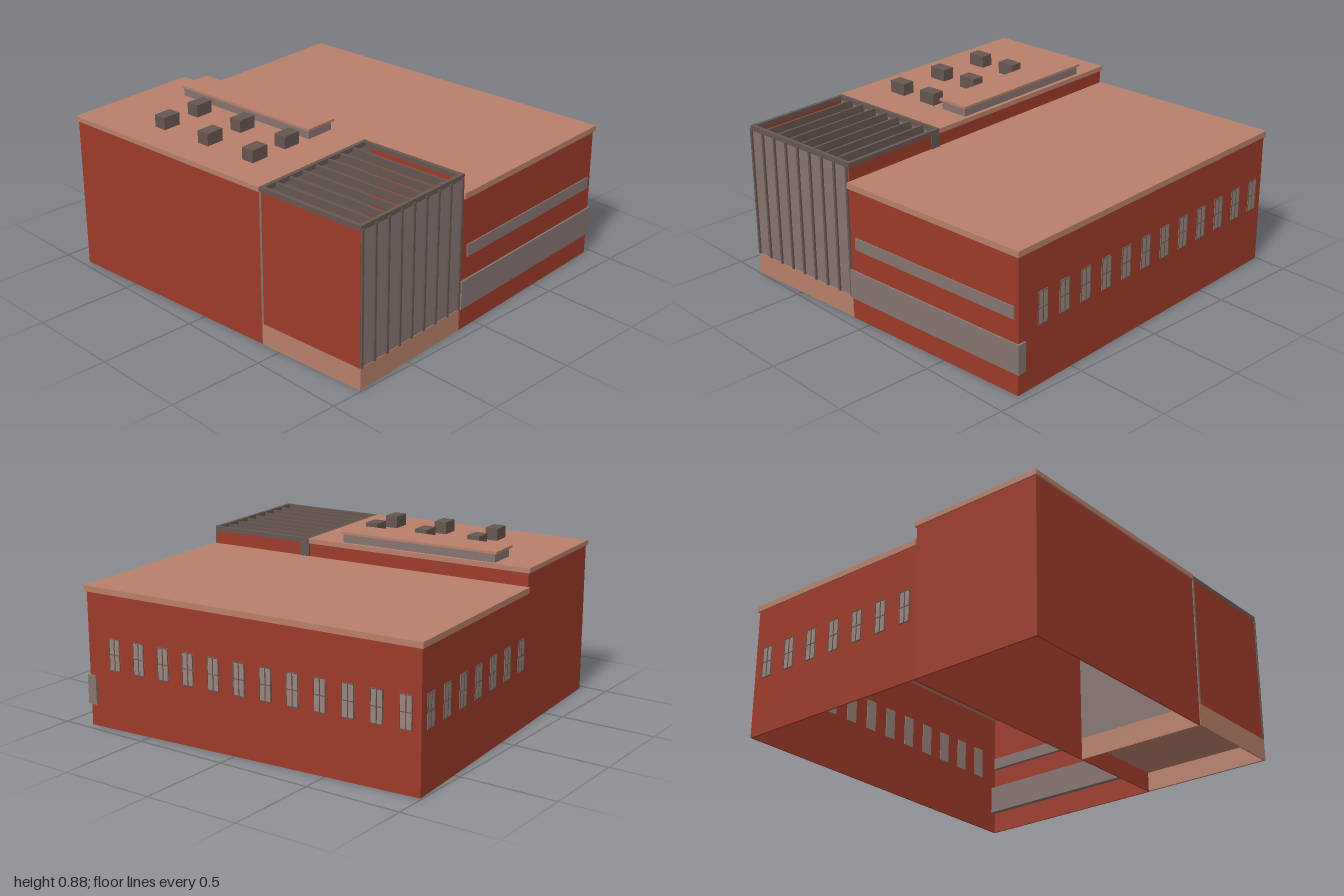
import * as THREE from 'three';

const mat = (color) => new THREE.MeshStandardMaterial({ color, side: THREE.DoubleSide });
const brick = mat(0x9c3b28), stone = mat(0xb8806a), glass = mat(0x857570), metal = mat(0x66564f), pane = mat(0x98857c);

// Box given by its extents along each axis
function box(parent, name, material, [x0, x1], [y0, y1], [z0, z1]) {
  const mesh = new THREE.Mesh(new THREE.BoxGeometry(x1 - x0, y1 - y0, z1 - z0), material);
  mesh.position.set((x0 + x1) / 2, (y0 + y1) / 2, (z0 + z1) / 2);
  mesh.name = name;
  parent.add(mesh);
  return mesh;
}

// Framed sash window, facing +z, centred on its origin
function createWindow() {
  const g = new THREE.Group();
  g.name = 'window';
  const w = 0.033, h = 0.083, t = 0.004;
  box(g, 'windowPane', pane, [-w, w], [-h, h], [-0.012, 0.002]);
  for (const x of [-w + t / 2, 0, w - t / 2])
    box(g, 'windowUpright', metal, [x - t / 2, x + t / 2], [-h, h], [0, 0.005]);
  for (const y of [-h + t / 2, 0, h - t / 2])
    box(g, 'windowRail', metal, [-w, w], [y - t / 2, y + t / 2], [0, 0.0045]);
  return g;
}

export function createModel() {
  const model = new THREE.Group();
  model.name = 'building';
  const b = new THREE.Group();
  b.name = 'buildingBody';
  b.rotation.y = 0.0747; // the whole plan is turned slightly
  model.add(b);

  const L = -0.897, M = -0.183, R = 0.893; // left wall, partition, right wall
  const back = -0.929, mid = 0.325, front = 0.93, t = 0.008;

  // Main hall: walls open at the bottom, flat roof
  box(b, 'hallRightWall', brick, [R - t, R], [0, 0.69], [back, front]);
  box(b, 'hallBackWall', brick, [M, R], [0, 0.69], [back, back + t]);
  box(b, 'hallFrontWall', brick, [M, R], [0, 0.69], [front - t, front]);
  box(b, 'hallRoof', stone, [M, 0.902], [0.69, 0.72], [-0.937, 0.94]);
  box(b, 'partitionWall', brick, [M - t, M], [0, 0.79], [back, front - 0.01]);

  // Ribbon windows on the hall front; the lower one wraps the corner
  box(b, 'lowerRibbonWindow', glass, [M - 0.003, 0.904], [0.113, 0.263], [0.89, 0.94]);
  box(b, 'upperRibbonWindow', glass, [-0.147, 0.87], [0.38, 0.443], [0.9, 0.936]);

  // Rows of windows on the right and back walls
  for (let i = 0; i < 12; i++) {
    const w = createWindow();
    w.position.set(R, 0.388, 0.77 - i * 0.1474);
    w.rotation.y = Math.PI / 2;
    b.add(w);
  }
  for (let i = 0; i < 7; i++) {
    const w = createWindow();
    w.position.set(0.81 - i * 0.155, 0.388, back);
    w.rotation.y = Math.PI;
    b.add(w);
  }

  // Taller wing
  box(b, 'wingLeftWall', brick, [L, L + t], [0, 0.79], [back, mid]);
  box(b, 'wingBackWall', brick, [L, M], [0, 0.79], [back, back + t]);
  box(b, 'wingRoof', stone, [-0.906, -0.174], [0.79, 0.815], [-0.938, mid]);

  // Raised roof light and roof vents
  box(b, 'roofLight', glass, [-0.355, -0.195], [0.815, 0.86], [-0.742, 0.125]);
  box(b, 'roofLightCap', stone, [-0.366, -0.184], [0.86, 0.872], [-0.754, 0.136]);
  for (const x of [-0.687, -0.47])
    for (const z of [-0.507, -0.207, 0.09])
      box(b, 'roofVent', metal, [x - 0.049, x + 0.049], [0.815, 0.878], [z - 0.034, z + 0.034]);

  // Atrium: stone plinth, brick side, glazed front and back
  const aL = -0.9, aR = -0.188, aF = 0.925;
  box(b, 'plinthFront', stone, [aL, aR], [0, 0.113], [aF - t, aF + 0.003]);
  box(b, 'plinthLeft', stone, [aL, aL + t], [0, 0.113], [mid, aF]);
  box(b, 'plinthBack', stone, [aL, aR], [0, 0.113], [mid, mid + t]);
  box(b, 'atriumFloor', stone, [aL + t, aR], [0.103, 0.113], [mid, aF - t]);
  box(b, 'atriumLeftWall', brick, [aL, aL + t], [0.113, 0.79], [mid + 0.012, aF]);
  box(b, 'atriumFrontGlass', glass, [aL, aR], [0.113, 0.79], [aF - 0.012, aF]);
  box(b, 'atriumBackGlass', glass, [aL - 0.002, aR], [0.113, 0.79], [mid, mid + 0.012]);
  box(b, 'atriumDesk', brick, [-0.816, -0.286], [0.113, 0.2], [0.59, 0.632]);

  // Atrium posts, top frame, mullions and rafters
  box(b, 'atriumBackPost', metal, [aR - 0.004, M + 0.006], [0.113, 0.79], [mid, mid + 0.055]);
  for (const z of [mid, aF - 0.018])
    box(b, 'atriumCrossBeam', metal, [aL, M + 0.004], [0.79, 0.815], [z, z + 0.02]);
  for (const x of [aL, M - 0.016])
    box(b, 'atriumSideBeam', metal, [x, x + 0.02], [0.79, 0.814], [mid, aF]);
  for (let i = 0; i <= 8; i++) {
    const x = aL + 0.008 + i * 0.0872;
    box(b, 'mullion', metal, [x - 0.006, x + 0.006], [0.113, 0.8], [aF - 0.02, aF + 0.009]);
    if (i > 0 && i < 8)
      box(b, 'rafter', metal, [x - 0.006, x + 0.006], [0.77, 0.81], [mid + 0.012, aF - 0.012]);
  }
  return model;
}
